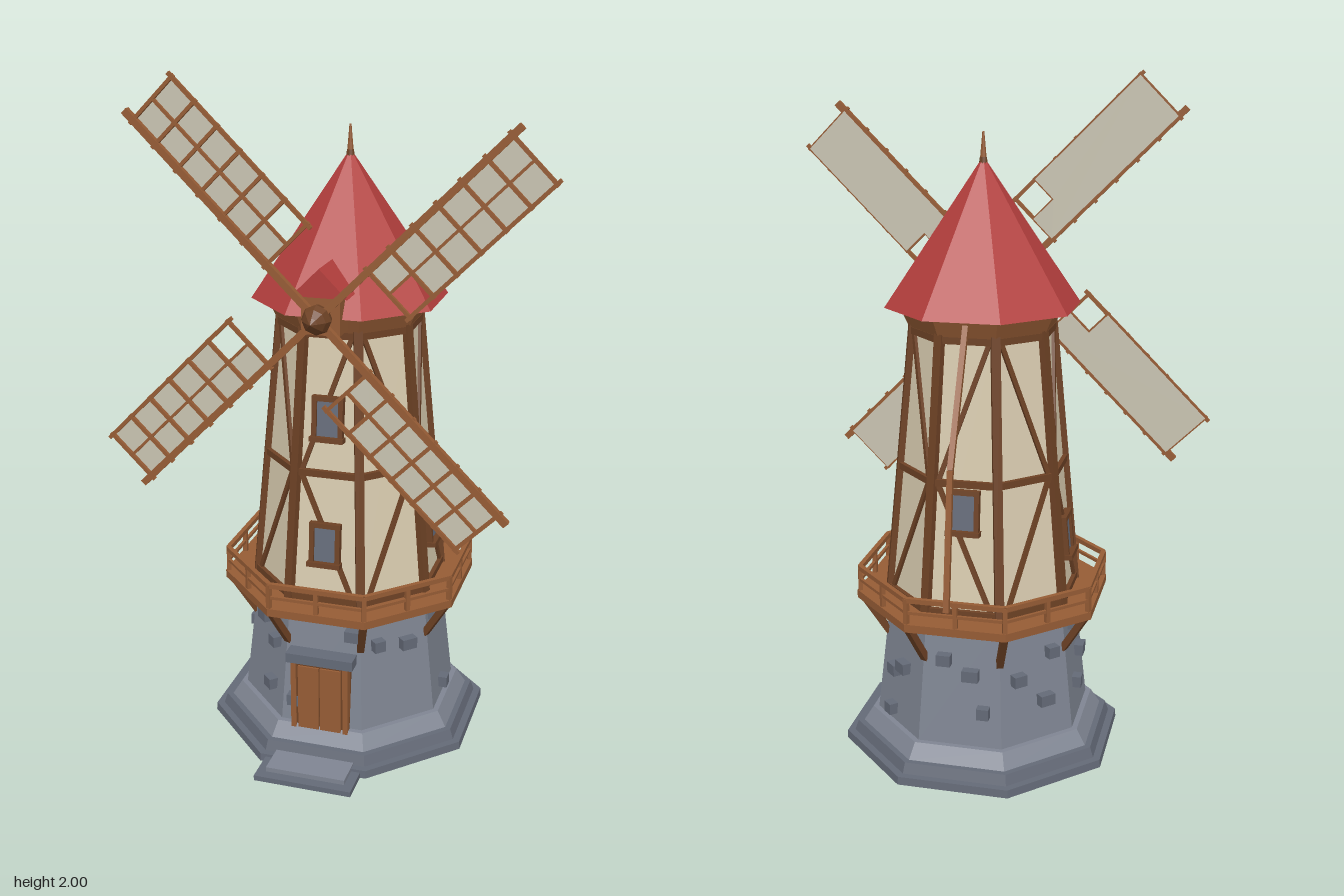
import * as THREE from 'three';

const mat = (color, extra = {}) => new THREE.MeshStandardMaterial({ color, flatShading: true, ...extra });
const STONE = mat(0x7f8592), STONE_DARK = mat(0x646a77), WOOD = mat(0x965c35), TIMBER = mat(0x6e4225),
  PLASTER = mat(0xd9ccb0), RED = mat(0xb43f3d), PANE = mat(0x666c7a), CANVAS = mat(0xc9c4b2, { side: THREE.DoubleSide });
const C8 = Math.cos(Math.PI / 8), T8 = Math.tan(Math.PI / 8);
const V = (x, y, z) => new THREE.Vector3(x, y, z);
const lerp = THREE.MathUtils.lerp;

function add(parent, name, geo, material, x = 0, y = 0, z = 0) {
  const m = new THREE.Mesh(geo, material);
  m.name = name;
  m.position.set(x, y, z);
  parent.add(m);
  return m;
}
const box = (parent, name, material, w, h, d, x, y, z) =>
  add(parent, name, new THREE.BoxGeometry(w, h, d), material, x, y, z);

// Octagonal frustum with a flat side to the front, sized by apothem
function octagon(parent, name, material, y0, y1, a0, a1) {
  const g = new THREE.CylinderGeometry(a1 / C8, a0 / C8, y1 - y0, 8).rotateY(Math.PI / 8);
  return add(parent, name, g, material, 0, (y0 + y1) / 2, 0);
}

// Straight timber from a to b; up sets the direction of its depth
function beam(parent, name, material, a, b, w, d = w, up = V(0, 1, 0)) {
  const m = new THREE.Mesh(new THREE.BoxGeometry(w, d, a.distanceTo(b)), material);
  m.name = name;
  m.up.copy(up);
  m.position.copy(a).add(b).multiplyScalar(0.5);
  m.lookAt(b);
  parent.add(m);
  return m;
}

// Point on side k: sideways offset, distance out, height
const normal = k => V(Math.sin(k * Math.PI / 4), 0, Math.cos(k * Math.PI / 4));
function onSide(k, off, out, y) {
  const n = normal(k);
  return V(n.x * out + n.z * off, y, n.z * out - n.x * off);
}
const corner = (k, a, y) => onSide(k, a * T8, a, y);
const bodyA = y => lerp(0.262, 0.188, (y - 0.48) / 0.82);
const stoneA = y => lerp(0.302, 0.262, (y - 0.1) / 0.37);

function stoneBase(tower) {
  octagon(tower, 'plinthStep', STONE_DARK, 0, 0.024, 0.395, 0.393);
  octagon(tower, 'plinthUpper', STONE_DARK, 0.024, 0.055, 0.372, 0.362);
  octagon(tower, 'plinthSkirt', STONE, 0.055, 0.1, 0.345, 0.318);
  octagon(tower, 'stoneWall', STONE, 0.1, 0.47, stoneA(0.1), 0.262);
  // Projecting stones: side, offset, height
  const stones = [[0, -0.085, 0.175], [0, 0.09, 0.4], [7, -0.02, 0.38], [7, 0.06, 0.33], [7, 0.055, 0.19],
    [1, 0.04, 0.345], [1, -0.06, 0.36], [2, -0.065, 0.4], [2, 0.005, 0.4], [2, -0.02, 0.145],
    [3, -0.03, 0.265], [3, 0.02, 0.29], [3, -0.03, 0.14], [4, -0.05, 0.36], [4, 0.03, 0.32], [4, 0.07, 0.21],
    [5, -0.06, 0.3], [5, 0.03, 0.22], [5, 0.06, 0.36], [6, -0.03, 0.4], [6, 0.04, 0.285], [6, -0.04, 0.215]];
  stones.forEach(([k, off, y], i) => {
    const m = box(tower, 'wallStone', STONE_DARK, 0.036 + 0.006 * (i % 3), 0.034, 0.04, 0, 0, 0);
    m.position.copy(onSide(k, off, stoneA(y) + 0.006, y));
    m.rotation.y = k * Math.PI / 4;
  });
}

function timberBody(tower) {
  octagon(tower, 'plasterWall', PLASTER, 0.47, 1.3, 0.263, 0.188);
  for (let k = 0; k < 8; k++) {
    const n = normal(k), cn = normal(k + 0.5);
    beam(tower, 'cornerPost', TIMBER, corner(k, bodyA(0.48), 0.48), corner(k, bodyA(1.3), 1.3), 0.026, 0.026, cn);
    for (const y of [0.5, 0.88, 1.285]) {
      const a = bodyA(y) + 0.003;
      beam(tower, 'crossBeam', TIMBER, corner(k - 1, a, y), corner(k, a, y), 0.02, 0.018, n);
    }
    // Diagonal braces, mirrored on every second side
    const s = k % 2 ? -1 : 1;
    for (const [y0, y1, dir] of [[0.5, 0.87, -s], [0.89, 1.28, s]]) {
      const a0 = bodyA(y0), a1 = bodyA(y1);
      beam(tower, 'brace', TIMBER, onSide(k, -dir * a0 * T8 * 0.8, a0 + 0.002, y0),
        onSide(k, dir * a1 * T8 * 0.8, a1 + 0.002, y1), 0.014, 0.014, n);
    }
  }
  // Windows: side and height
  for (const [k, y] of [[0, 0.67], [0, 1.045], [2, 0.67], [6, 0.67], [4, 0.8]]) {
    const w = new THREE.Group();
    w.name = 'window';
    w.position.copy(onSide(k, 0, bodyA(y) + 0.006, y));
    w.rotation.set(-0.09, k * Math.PI / 4, 0, 'YXZ');
    box(w, 'pane', PANE, 0.07, 0.11, 0.014, 0, 0, 0);
    for (const s of [-1, 1]) box(w, 'windowJamb', TIMBER, 0.014, 0.125, 0.03, s * 0.039, 0, 0);
    box(w, 'windowHead', TIMBER, 0.094, 0.014, 0.032, 0, 0.058, 0);
    box(w, 'windowSill', TIMBER, 0.1, 0.014, 0.042, 0, -0.06, 0.004);
    tower.add(w);
  }
}

function balcony(tower) {
  octagon(tower, 'balconyDeck', WOOD, 0.466, 0.49, 0.355, 0.355);
  for (let k = 0; k < 8; k++) {
    const n = normal(k), cn = normal(k + 0.5);
    for (const [y, t] of [[0.562, 0.014], [0.524, 0.009]])
      beam(tower, 'rail', WOOD, corner(k - 1, 0.346, y), corner(k, 0.346, y), t, t, n);
    for (const [p, up] of [[corner(k, 0.346, 0), cn], [onSide(k, 0, 0.346, 0), n]])
      beam(tower, 'railPost', WOOD, V(p.x, 0.48, p.z), V(p.x, 0.565, p.z), 0.013, 0.013, up);
    beam(tower, 'balconyBracket', TIMBER, corner(k, 0.268, 0.35), corner(k, 0.337, 0.468), 0.02, 0.02, cn);
  }
}

function roof(tower) {
  octagon(tower, 'roofCorbel', WOOD, 1.295, 1.352, 0.2, 0.224);
  octagon(tower, 'roofCone', RED, 1.35, 1.76, 0.265, 0.008);
  add(tower, 'finialBase', new THREE.CylinderGeometry(0.01, 0.016, 0.04, 8), TIMBER, 0, 1.75, 0);
  add(tower, 'finial', new THREE.CylinderGeometry(0.003, 0.011, 0.09, 8), WOOD, 0, 1.795, 0);
}

function dormer(root) {
  box(root, 'axleHousing', WOOD, 0.11, 0.115, 0.2, 0, 1.365, 0.16);
  const s = new THREE.Shape([new THREE.Vector2(-0.08, 1.415), new THREE.Vector2(0.08, 1.415), new THREE.Vector2(0, 1.495)]);
  add(root, 'dormerRoof', new THREE.ExtrudeGeometry(s, { depth: 0.23, bevelEnabled: false }), RED, 0, 0, 0.042);
}

// One sail along +y, cloth on the +x side, with an open inner corner cell
function sail() {
  const g = new THREE.Group();
  g.name = 'sail';
  const y0 = 0.2, y1 = 0.722, w = 0.163, cell = (y1 - y0) / 6;
  box(g, 'spar', WOOD, 0.02, 0.756, 0.018, 0, 0.378, 0);
  box(g, 'outerRail', WOOD, 0.011, y1 - y0 + 0.03, 0.011, w, (y0 + y1) / 2, 0);
  box(g, 'middleRail', WOOD, 0.008, y1 - y0, 0.01, w / 2, (y0 + y1) / 2, 0);
  for (let i = 0; i <= 6; i++) box(g, 'sailBar', WOOD, w + 0.022, 0.01, 0.011, w / 2 - 0.004, y0 + i * cell, 0);
  const pts = [[0, y0], [w / 2, y0], [w / 2, y0 + cell], [w, y0 + cell], [w, y1], [0, y1]];
  const cloth = new THREE.Shape(pts.map(p => new THREE.Vector2(...p)));
  add(g, 'sailCloth', new THREE.ExtrudeGeometry(cloth, { depth: 0.004, bevelEnabled: false }), CANVAS, 0, 0, -0.011);
  return g;
}

function rotor(root) {
  const r = new THREE.Group();
  r.name = 'rotor';
  r.position.set(0, 1.36, 0.288);
  for (let i = 0; i < 4; i++) {
    const s = sail();
    s.rotation.z = Math.PI / 4 + i * Math.PI / 2;
    r.add(s);
  }
  const profile = [[0, -0.06], [0.022, -0.06], [0.022, -0.025], [0.036, -0.02], [0.043, 0.008], [0.034, 0.03], [0.016, 0.05], [0, 0.064]];
  const hub = new THREE.LatheGeometry(profile.map(p => new THREE.Vector2(...p)), 8).rotateX(Math.PI / 2);
  add(r, 'hub', hub, TIMBER);
  root.add(r);
}

function entrance(root) {
  box(root, 'lowerStep', STONE_DARK, 0.294, 0.016, 0.14, 0, 0.008, 0.4);
  box(root, 'upperStep', STONE, 0.24, 0.03, 0.14, 0, 0.015, 0.37);
  box(root, 'doorSurround', TIMBER, 0.176, 0.25, 0.06, 0, 0.185, 0.262);
  for (const s of [-1, 1]) {
    box(root, 'doorLeaf', WOOD, 0.064, 0.225, 0.02, s * 0.034, 0.185, 0.288);
    box(root, 'doorJamb', WOOD, 0.016, 0.25, 0.03, s * 0.08, 0.185, 0.284);
  }
  box(root, 'doorLintel', STONE_DARK, 0.205, 0.03, 0.08, 0, 0.322, 0.262);
}

export function createModel() {
  const root = new THREE.Group();
  root.name = 'windmill';
  const tower = new THREE.Group();
  tower.name = 'tower';
  tower.position.z = -0.025;
  root.add(tower);
  stoneBase(tower);
  timberBody(tower);
  balcony(tower);
  roof(tower);
  dormer(root);
  rotor(root);
  entrance(root);
  // Bent tail pole at the back
  const bend = V(0, 0.97, -0.412);
  beam(root, 'tailPoleUpper', WOOD, V(0, 1.33, -0.235), bend, 0.016);
  beam(root, 'tailPoleLower', WOOD, bend, V(0, 0.58, -0.466), 0.016);
  return root;
}
